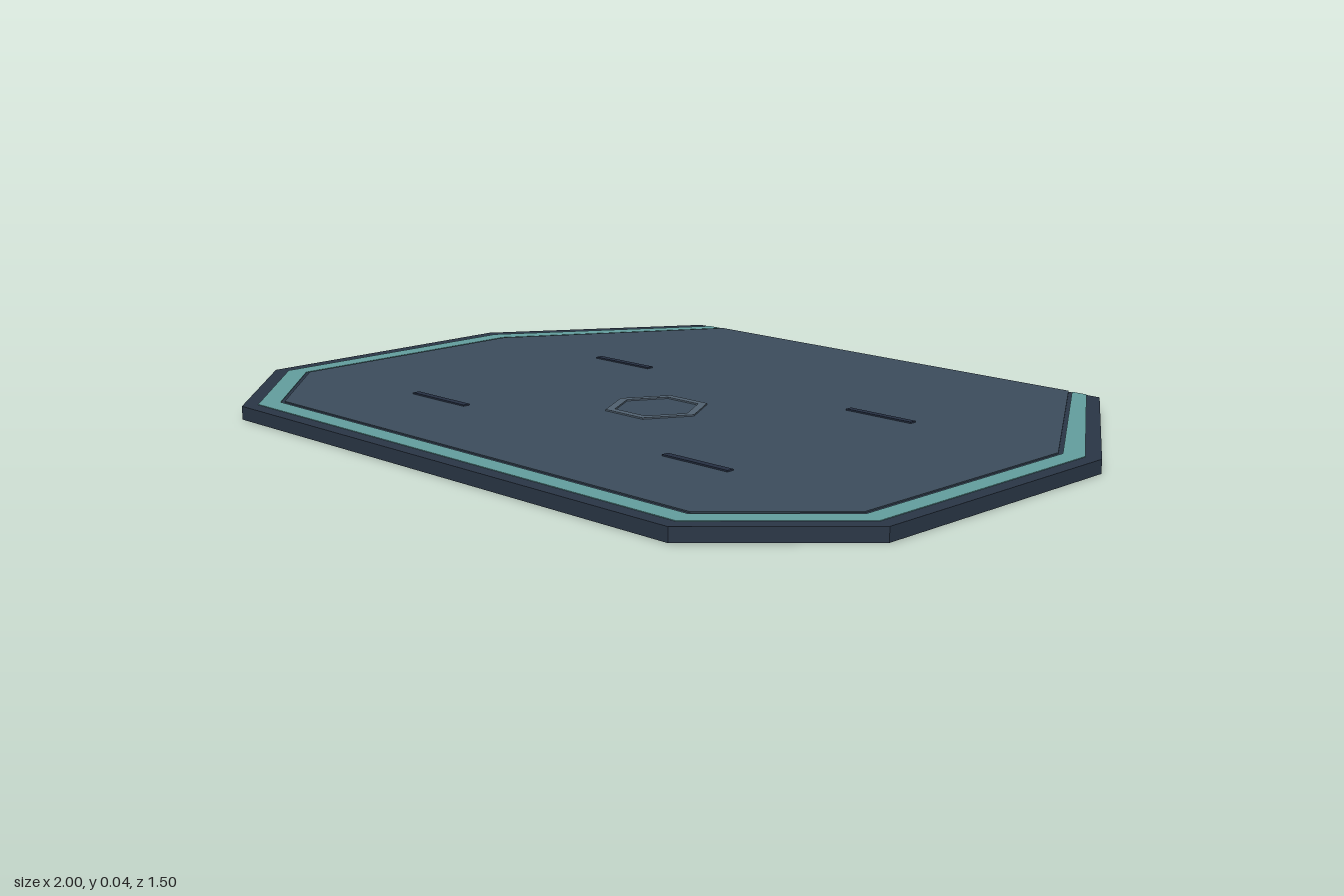
import * as THREE from 'three';

const BACK = -0.75;

// Symmetric plate outline from four right-hand corners, back to front (shape y = -z)
function outline(half) {
  const mirrored = half.map(([x, z]) => [-x, z]).reverse();
  return [...half, ...mirrored].map(([x, z]) => new THREE.Vector2(x, -z));
}

function material(color) {
  return new THREE.MeshStandardMaterial({ color, flatShading: true });
}

// Flat plate lying in xz, from height y0 to y1, with an optional hole
function plate(name, points, y0, y1, mat, hole) {
  const shape = new THREE.Shape(points);
  if (hole) shape.holes.push(new THREE.Path(hole));
  const geometry = new THREE.ExtrudeGeometry(shape, { depth: y1 - y0, bevelEnabled: false });
  geometry.rotateX(-Math.PI / 2).translate(0, y0, 0);
  const mesh = new THREE.Mesh(geometry, mat);
  mesh.name = name;
  return mesh;
}

function hexagon(r, z) {
  return Array.from({ length: 6 }, (_, i) => {
    const a = (i * Math.PI) / 3;
    return new THREE.Vector2(r * Math.cos(a), r * Math.sin(a) - z);
  });
}

export function createModel() {
  const group = new THREE.Group();
  group.name = 'floorPlatform';

  const dark = material(0x2a3646);
  const teal = material(0x639e9e);
  const deckMat = material(0x3c4c5c);
  const ringMat = material(0x516170);
  const slotMat = material(0x252f42);

  const outer = [[0.665, BACK], [1, -0.25], [1, 0.455], [0.708, 0.747]];
  const stripOuter = [[0.628, BACK], [0.965, -0.24], [0.965, 0.44], [0.693, 0.712]];
  const stripInner = [[0.587, BACK], [0.917, -0.228], [0.917, 0.42], [0.675, 0.662]];
  const deckEdge = [[0.577, BACK], [0.908, -0.224], [0.908, 0.416], [0.672, 0.652]];

  // Base slab, also forming the rim and the seam around the deck
  group.add(plate('baseSlab', outline(outer), 0, 0.032, dark));

  // Inlaid strip, open along the back edge
  const right = stripOuter.map(([x, z]) => new THREE.Vector2(x, -z));
  const left = stripOuter.map(([x, z]) => new THREE.Vector2(-x, -z)).reverse();
  const innerLeft = stripInner.map(([x, z]) => new THREE.Vector2(-x, -z));
  const innerRight = stripInner.map(([x, z]) => new THREE.Vector2(x, -z)).reverse();
  group.add(plate('inlayStrip', [...right, ...left, ...innerLeft, ...innerRight], 0.03, 0.0335, teal));

  // Raised deck panel
  group.add(plate('deck', outline(deckEdge), 0.03, 0.0345, deckMat));

  // Hexagonal ring marking
  group.add(plate('hexRing', hexagon(0.122, 0.08), 0.033, 0.038, ringMat, hexagon(0.1, 0.08)));

  // Four slot markings
  for (const x of [-0.425, 0.425]) {
    for (const z of [-0.22, 0.38]) {
      const slot = new THREE.Mesh(new THREE.BoxGeometry(0.19, 0.005, 0.018), slotMat);
      slot.name = 'slotMark';
      slot.position.set(x, 0.0355, z);
      group.add(slot);
    }
  }
  return group;
}
